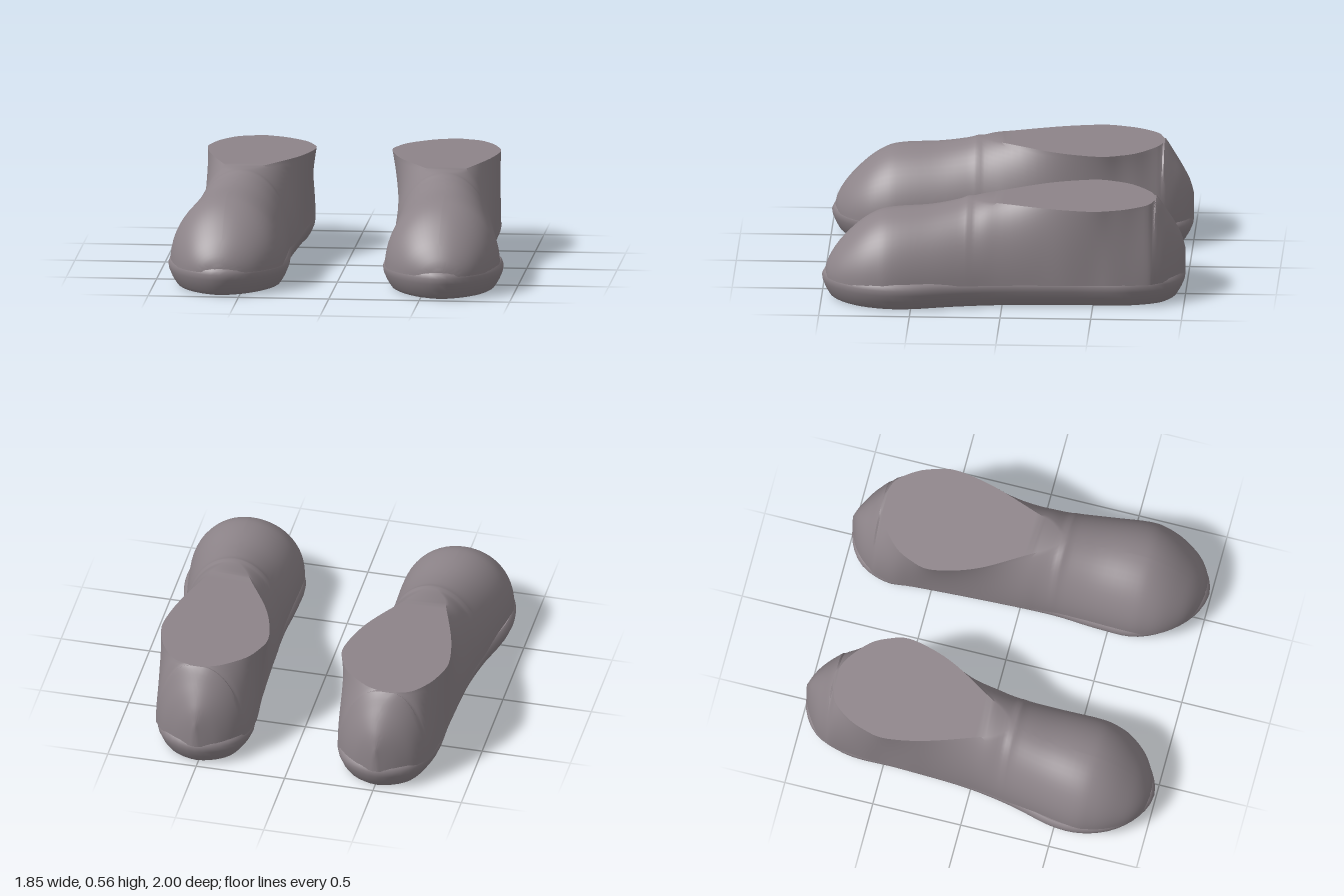
import * as THREE from 'three';
import { toCreasedNormals } from 'three/addons/utils/BufferGeometryUtils.js';

const TOP = 0.56;   // height of the flat ankle cut
const BASE = 0.13;  // where the upper meets the sole

// Upper sections, toe to heel: z, base x range, top x range, top height, roundness
const SECTIONS = [
  [0.98, 0.58, 0.64, 0.61, 0.61, 0.16, 1],
  [0.96, 0.50, 0.72, 0.61, 0.61, 0.22, 1],
  [0.90, 0.40, 0.80, 0.60, 0.60, 0.31, 1],
  [0.80, 0.32, 0.865, 0.60, 0.60, 0.41, 1],
  [0.70, 0.285, 0.90, 0.60, 0.60, 0.475, 1],
  [0.60, 0.275, 0.91, 0.60, 0.60, 0.50, 1],
  [0.40, 0.28, 0.88, 0.59, 0.59, 0.515, 1],
  [0.25, 0.285, 0.855, 0.57, 0.57, 0.542, 1],
  [0.19, 0.285, 0.845, 0.55, 0.57, TOP, 1],
  [0.10, 0.28, 0.83, 0.48, 0.645, TOP, 0.97],
  [0.00, 0.27, 0.82, 0.42, 0.68, TOP, 0.93],
  [-0.20, 0.265, 0.81, 0.30, 0.75, TOP, 0.8],
  [-0.35, 0.26, 0.81, 0.24, 0.79, TOP, 0.6],
  [-0.50, 0.25, 0.80, 0.21, 0.81, TOP, 0.4],
  [-0.60, 0.24, 0.80, 0.235, 0.79, TOP, 0.45],
  [-0.70, 0.235, 0.79, 0.29, 0.75, TOP, 0.7],
  [-0.80, 0.255, 0.775, 0.41, 0.67, TOP, 0.9],
  [-0.84, 0.275, 0.755, 0.50, 0.57, TOP, 1],
  [-0.90, 0.32, 0.71, 0.52, 0.52, 0.48, 1],
  [-0.95, 0.38, 0.64, 0.51, 0.51, 0.40, 1],
  [-0.98, 0.44, 0.58, 0.51, 0.51, 0.34, 1],
  [-1.00, 0.495, 0.525, 0.51, 0.51, 0.27, 1],
];

// Plan outline of the sole lip: x, z
const OUTLINE = [
  [0.51, -1], [0.70, -0.92], [0.79, -0.72], [0.80, -0.4], [0.82, 0], [0.86, 0.25],
  [0.92, 0.5], [0.92, 0.65], [0.86, 0.82], [0.74, 0.95], [0.61, 1], [0.47, 0.95],
  [0.35, 0.83], [0.27, 0.66], [0.265, 0.45], [0.28, 0.2], [0.27, -0.2],
  [0.25, -0.6], [0.24, -0.75], [0.32, -0.92],
];

// Sole profile from the top ledge down: height, inset from the lip
const SOLE_PROFILE = [
  [0.15, 0.05], [0.153, 0.018], [0.143, 0.008], [0.12, 0], [0.09, 0.005],
  [0.05, 0.022], [0.02, 0.04], [0.006, 0.05], [0, 0.06],
];

// Skin closed rings of points and cap both ends; side -1 mirrors in x
function loft(rings, side) {
  const n = rings[0].length;
  const pos = [];
  const tri = (a, b, c) => {
    for (const p of side > 0 ? [a, b, c] : [a, c, b]) pos.push(p.x * side, p.y, p.z);
  };
  for (let i = 0; i < rings.length - 1; i++) {
    for (let j = 0; j < n; j++) {
      const k = (j + 1) % n;
      const a = rings[i][j], b = rings[i][k], c = rings[i + 1][j], d = rings[i + 1][k];
      tri(a, b, c);
      tri(b, d, c);
    }
  }
  const centre = ring => ring.reduce((s, p) => s.add(p), new THREE.Vector3()).divideScalar(n);
  const first = rings[0], last = rings[rings.length - 1];
  const c0 = centre(first), c1 = centre(last);
  for (let j = 0; j < n; j++) {
    const k = (j + 1) % n;
    tri(c0, first[k], first[j]);
    tri(c1, last[j], last[k]);
  }
  const geo = new THREE.BufferGeometry();
  geo.setAttribute('position', new THREE.Float32BufferAttribute(pos, 3));
  return toCreasedNormals(geo, 0.65);
}

// Smoothly subdivide the section table
function smoothRows(rows, steps) {
  const out = [];
  const at = i => rows[Math.min(Math.max(i, 0), rows.length - 1)];
  for (let i = 0; i < rows.length - 1; i++) {
    for (let s = 0; s < steps; s++) {
      const t = s / steps;
      out.push(rows[i].map((p1, c) => {
        const p0 = at(i - 1)[c], p2 = at(i + 1)[c], p3 = at(i + 2)[c];
        return p1 + 0.5 * t * (p2 - p0 + t * (2 * p0 - 5 * p1 + 4 * p2 - p3 + t * (3 * (p1 - p2) + p3 - p0)));
      }));
    }
  }
  out.push(rows[rows.length - 1]);
  return out;
}

// Domed section whose arc is cut short where the ankle is flat
function sectionRing([z, xl, xr, tl, tr, top, round]) {
  const N = 14, left = [], right = [];
  const k = Math.min(round, 1), h = Math.min(top, TOP) - BASE;
  const end = Math.asin(k);
  const mid = (tl + tr) / 2, half = Math.max((tr - tl) / 2, 0.002);
  for (let i = 0; i <= N; i++) {
    const t = end * i / N;
    const y = BASE + h * Math.sin(t) / k;
    const w = (1 - Math.cos(t)) / (1 - Math.cos(end));
    left.push(new THREE.Vector3(THREE.MathUtils.lerp(xl, mid - half, w), y, z));
    right.unshift(new THREE.Vector3(THREE.MathUtils.lerp(xr, mid + half, w), y, z));
  }
  return [...left, ...right];
}

function soleRings() {
  const curve = new THREE.CatmullRomCurve3(
    OUTLINE.map(([x, z]) => new THREE.Vector3(x, 0, z)), true, 'centripetal');
  const N = 96;
  return SOLE_PROFILE.map(([y, inset]) => Array.from({ length: N }, (_, i) => {
    const p = curve.getPointAt(i / N), t = curve.getTangentAt(i / N);
    return new THREE.Vector3(p.x - t.z * inset, y, p.z + t.x * inset);
  }));
}

export function createModel() {
  const model = new THREE.Group();
  model.name = 'shoes';
  const leather = new THREE.MeshStandardMaterial({ color: 0x8d8489 });
  leather.name = 'greyLeather';

  const upper = smoothRows(SECTIONS, 4).map(sectionRing);
  const sole = soleRings();
  for (const [name, side] of [['left', 1], ['right', -1]]) {
    const shoe = new THREE.Group();
    shoe.name = name + 'Shoe';
    for (const [part, rings] of [['Upper', upper], ['Sole', sole]]) {
      const mesh = new THREE.Mesh(loft(rings, side), leather);
      mesh.name = name + part;
      shoe.add(mesh);
    }
    model.add(shoe);
  }
  return model;
}
